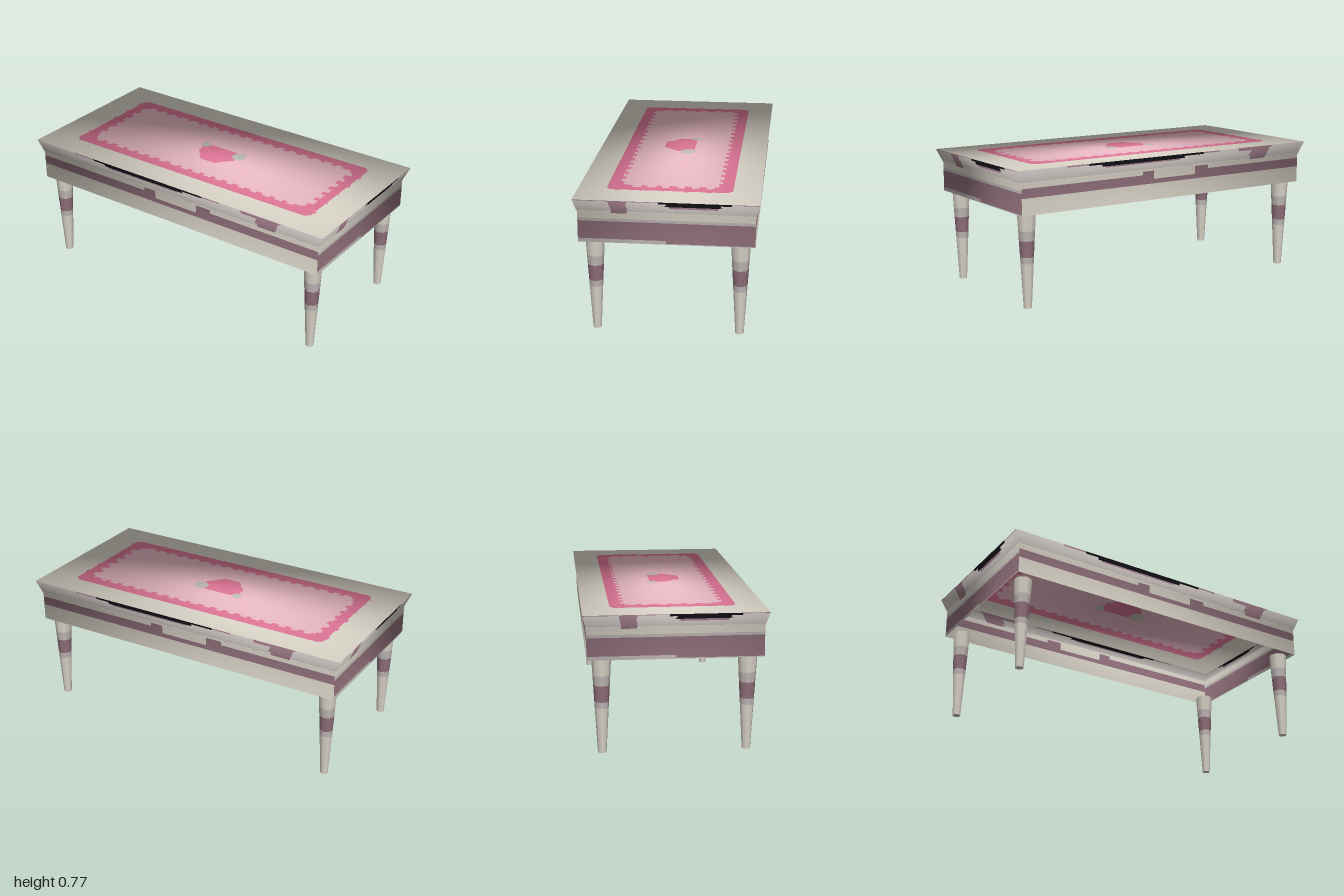
import * as THREE from 'three';

const mat = (name, color) => {
  const m = new THREE.MeshStandardMaterial({ color, side: THREE.DoubleSide });
  m.name = name;
  return m;
};
const CREAM = 0, GREY = 1, MAUVE = 2, PINK = 3, ROSE = 4, SAGE = 5, BLACK = 6;
const within = (v, lo, hi) => v >= lo && v <= hi;

// Painted pattern of the table top: scalloped frame, pink field, central bloom
function topColour(x, z) {
  const ax = Math.abs(x), az = Math.abs(z + 0.003);
  if (Math.hypot(x + 0.135, z + 0.055) < 0.03 || Math.hypot(x - 0.12, z + 0.03) < 0.042) {
    if (!(within(x, -0.1, 0.08))) return SAGE;
  }
  const halfWidth = z < 0.02 ? 0.13 : 0.13 - (z - 0.02) * 0.85;
  if (within(z, -0.07, 0.12) && Math.abs(x + 0.005) < halfWidth - Math.max(0, -z - 0.03)) return ROSE;
  const tooth = (v) => ((v + 2) % 0.08) < 0.045;
  const inX = ax < 0.745 || (ax < 0.765 && tooth(z));
  const inZ = az < 0.255 || (az < 0.275 && tooth(x));
  if (inX && inZ && ax + az < 0.985) return PINK;
  return ax < 0.825 && az < 0.335 && ax + az < 1.13 ? ROSE : CREAM;
}

// Painted pattern of the long sides, s runs left to right seen from outside
function longColour(s, y) {
  if (y > 0.757 && within(s, -0.56, 0.22)) return BLACK;
  if (y > 0.747 && within(s, -0.47, 0.08)) return BLACK;
  if (y > 0.739 && within(s, -0.45, 0.06)) return MAUVE;
  if (y > 0.762 && within(s, -0.7, 0.35)) return MAUVE;
  if (y > 0.695 && within(s, y > 0.75 ? 0.48 : 0.58, 0.7 + (y - 0.695) * 0.5)) return MAUVE;
  let edge = 0.667;
  if (within(s, -0.12, 0.18)) edge = 0.645;
  else if (within(s, -0.2, 0.27)) edge = 0.69;
  if (within(y, 0.615, edge)) return MAUVE;
  return y > 0.7 ? GREY : CREAM;
}

// Painted pattern of the short ends
function shortColour(s, y) {
  if (y > 0.757 && within(s, -0.04, 0.345)) return BLACK;
  if (y > 0.742 && within(s, 0, 0.29)) return BLACK;
  if (y > 0.73 && within(s, 0.02, 0.27)) return MAUVE;
  if (y > 0.765) return MAUVE;
  if (y > 0.69 && within(s, -0.3 + (0.77 - y) * 0.2, -0.205)) return MAUVE;
  if (y > 0.7) return GREY;
  if (y > 0.66) return CREAM;
  if (y > 0.645) return GREY;
  return y < (s < 0 ? 0.547 : 0.53) ? GREY : MAUVE;
}

// Four-cornered sheet with blended corner normals, its cells sorted into colour groups
function panel(corners, normals, nu, nv, colourAt, materials, name) {
  const blend = ([a, b, c, d], u, v) => {
    const p = a.clone();
    return u >= v
      ? p.addScaledVector(b, u).addScaledVector(a, -u).addScaledVector(c, v).addScaledVector(b, -v)
      : p.addScaledVector(d, v).addScaledVector(a, -v).addScaledVector(c, u).addScaledVector(d, -u);
  };
  const pos = [], nor = [], buckets = materials.map(() => []);
  for (let j = 0; j <= nv; j++) {
    for (let i = 0; i <= nu; i++) {
      pos.push(...blend(corners, i / nu, j / nv).toArray());
      nor.push(...blend(normals, i / nu, j / nv).normalize().toArray());
      if (i === nu || j === nv) continue;
      const k = j * (nu + 1) + i, up = k + nu + 1;
      const colour = colourAt(blend(corners, (i + 0.5) / nu, (j + 0.5) / nv));
      buckets[colour].push(k, k + 1, up + 1, k, up + 1, up);
    }
  }
  const g = new THREE.BufferGeometry();
  g.setAttribute('position', new THREE.Float32BufferAttribute(pos, 3));
  g.setAttribute('normal', new THREE.Float32BufferAttribute(nor, 3));
  g.setIndex(buckets.flat());
  let start = 0;
  buckets.forEach((b, m) => {
    if (b.length) g.addGroup(start, b.length, m);
    start += b.length;
  });
  const mesh = new THREE.Mesh(g, materials);
  mesh.name = name;
  return mesh;
}

export function createModel() {
  const table = new THREE.Group();
  table.name = 'table';
  const materials = [
    mat('cream', 0xdad4c8), mat('warm grey', 0xbfb8b5), mat('mauve', 0x91707c),
    mat('pale pink', 0xe3b4bf), mat('rose', 0xdb7494), mat('sage grey', 0xb9b9b0),
    mat('black', 0x0c0c11),
  ];

  // Corner rings of the open shell, from apron hem up to the flared rim
  const ring = (x, y, z) => [[-1, 1], [1, 1], [1, -1], [-1, -1]]
    .map(([sx, sz]) => new THREE.Vector3(sx * x, y, sz * z));
  const hem = ring(0.965, 0.524, 0.467), waist = ring(0.965, 0.69, 0.467), rim = ring(1, 0.77, 0.487);
  const hemN = ring(0.707, 0, 0.707), waistN = ring(0.7, -0.12, 0.7), rimN = ring(0.66, 0.3, 0.69);

  // Table top
  table.add(panel(rim, rimN, 200, 97, (p) => topColour(p.x, p.z), materials, 'tableTop'));

  // Apron walls and the flared moulding above them
  ['front', 'left', 'back', 'right'].forEach((side, i) => {
    const n = (i + 1) % 4;
    const along = hem[n].clone().sub(hem[i]).normalize();
    const rule = i % 2 ? shortColour : longColour;
    const colourAt = (p) => rule(p.dot(along), p.y);
    const quad = (lo, hi) => [lo[i], lo[n], hi[n], hi[i]];
    table.add(panel(quad(hem, waist), quad(hemN, waistN), 100, 32, colourAt, materials, side + 'Apron'));
    table.add(panel(quad(waist, rim), quad(waistN, rimN), 100, 20, colourAt, materials, side + 'Moulding'));
  });

  // Tapered legs made of coloured bands
  const bands = [[0, 0.25, CREAM], [0.25, 0.285, GREY], [0.285, 0.375, MAUVE],
    [0.375, 0.43, GREY], [0.43, 0.525, CREAM]];
  const radius = (y) => 0.023 + (0.0525 - 0.023) * y / 0.525;
  for (const sx of [-1, 1]) {
    for (const sz of [-1, 1]) {
      const leg = new THREE.Group();
      leg.name = (sz > 0 ? 'front' : 'back') + (sx > 0 ? 'Left' : 'Right') + 'Leg';
      for (const [y0, y1, colour] of bands) {
        const band = new THREE.Mesh(
          new THREE.CylinderGeometry(radius(y1), radius(y0), y1 - y0, 8, 1, true), materials[colour]);
        band.position.y = (y0 + y1) / 2;
        band.name = 'legBand';
        leg.add(band);
      }
      const foot = new THREE.Mesh(new THREE.CircleGeometry(radius(0), 8), materials[CREAM]);
      foot.rotation.x = Math.PI / 2;
      foot.name = 'foot';
      leg.add(foot);
      leg.position.set(sx * 0.895, 0, sz * 0.388);
      table.add(leg);
    }
  }
  return table;
}
